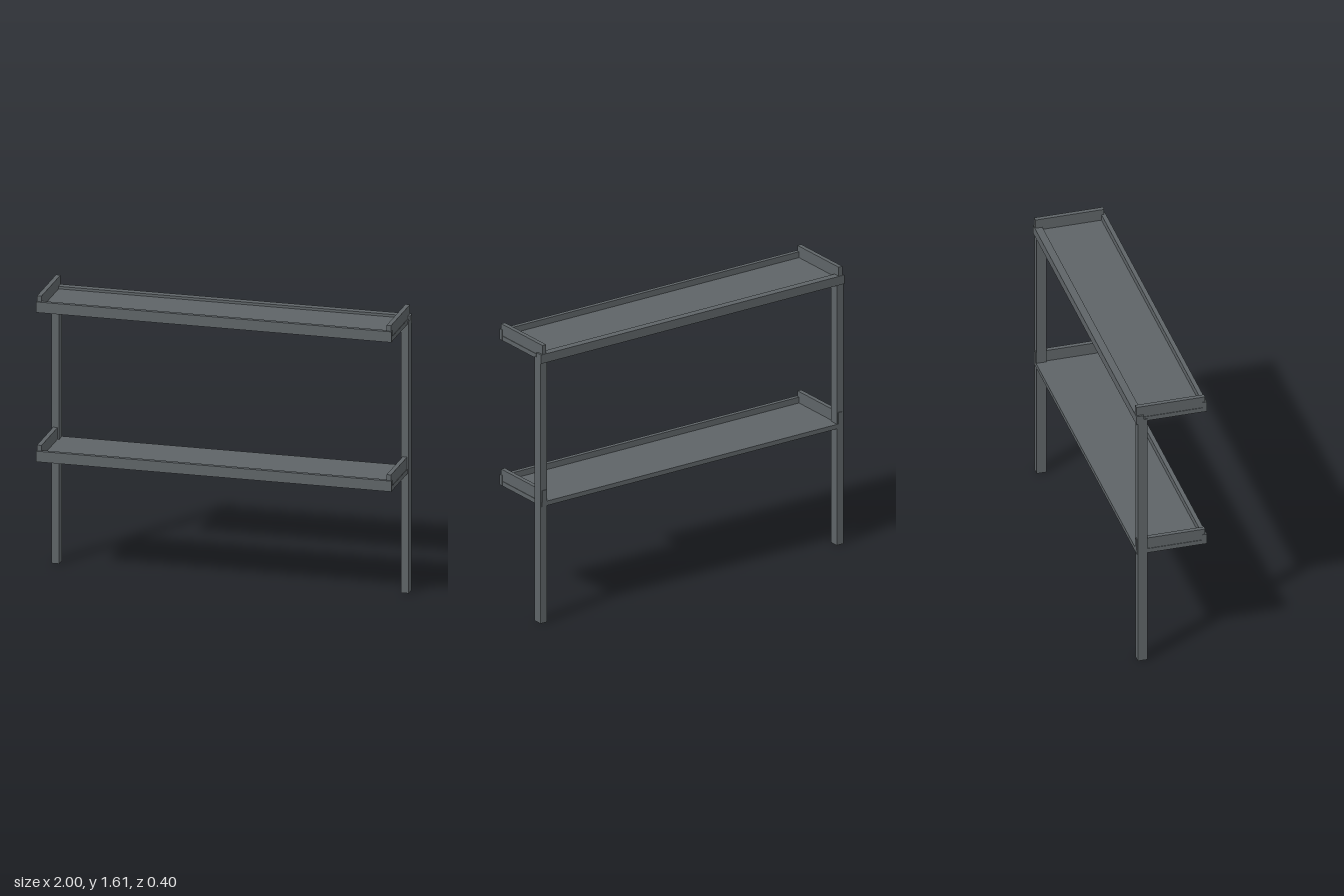
import * as THREE from 'three';

export function createModel() {
  const model = new THREE.Group();
  const paint = new THREE.MeshStandardMaterial({ color: 0x5e6467 });
  paint.name = 'slate grey paint';

  // Box given by its limits along each axis
  function block(parent, name, [x0, x1], [y0, y1], [z0, z1]) {
    const mesh = new THREE.Mesh(new THREE.BoxGeometry(x1 - x0, y1 - y0, z1 - z0), paint);
    mesh.position.set((x0 + x1) / 2, (y0 + y1) / 2, (z0 + z1) / 2);
    mesh.name = name;
    parent.add(mesh);
  }
  const mirrored = (side, a, b) => (side > 0 ? [a, b] : [-b, -a]);

  // Posts at the back corners
  for (const side of [1, -1]) {
    block(model, side > 0 ? 'leftPost' : 'rightPost',
      mirrored(side, 0.953, 0.996), [0, 1.534], [-0.19, -0.136]);
  }

  // Each shelf: flat tray, L-shaped front lip and upright end panels
  for (const [name, y] of [['lowerShelf', 0.677], ['upperShelf', 1.52]]) {
    const shelf = new THREE.Group();
    shelf.name = name;
    block(shelf, 'tray', [-0.99, 0.99], [y, y + 0.026], [-0.194, 0.18]);
    block(shelf, 'frontLip', [-0.991, 0.991], [y, y + 0.06], [0.175, 0.199]);
    for (const side of [1, -1]) {
      block(shelf, side > 0 ? 'leftEndPanel' : 'rightEndPanel',
        mirrored(side, 0.962, 0.987), [y + 0.004, y + 0.092], [-0.195, 0.19]);
    }
    model.add(shelf);
  }

  // Angle rail capping the posts behind the upper shelf
  const rail = new THREE.Group();
  rail.name = 'backRail';
  block(rail, 'railTop', [-0.998, 0.998], [1.534, 1.56], [-0.198, -0.156]);
  block(rail, 'railBack', [-0.998, 0.998], [1.509, 1.545], [-0.198, -0.189]);
  model.add(rail);

  return model;
}
